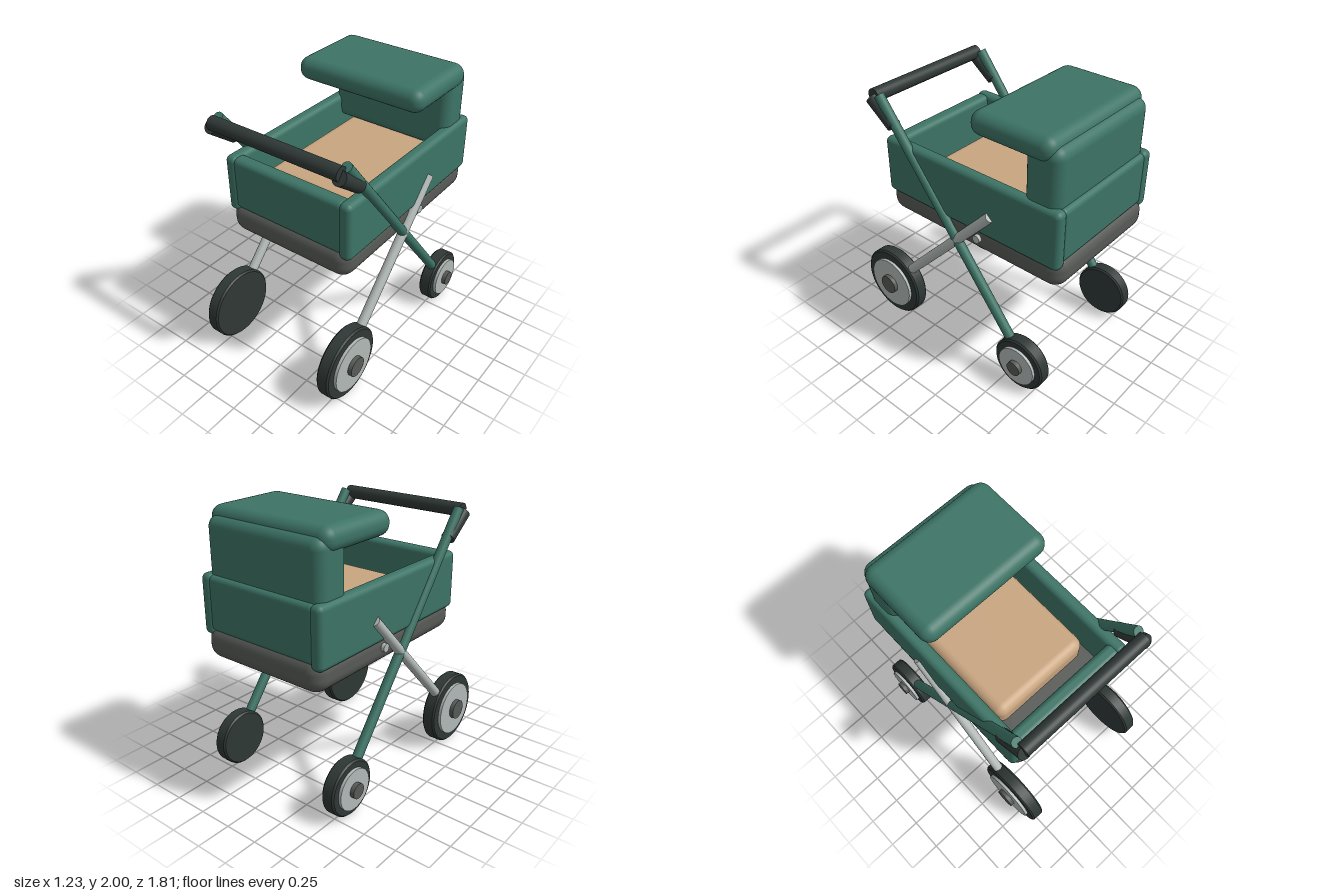
import * as THREE from 'three';
import { RoundedBoxGeometry } from 'three/addons/geometries/RoundedBoxGeometry.js';

const mat = (name, color) => {
  const m = new THREE.MeshStandardMaterial({ color });
  m.name = name;
  return m;
};

export function createModel() {
  const group = new THREE.Group();
  const green = mat('green fabric', 0x3d7466);
  const rubber = mat('dark rubber', 0x2f3836);
  const grey = mat('dark grey', 0x585b57);
  const silver = mat('silver', 0xb3bab8);
  const tan = mat('tan cushion', 0xc8a580);

  const add = (name, geometry, material, parent = group) => {
    const mesh = new THREE.Mesh(geometry, material);
    mesh.name = name;
    parent.add(mesh);
    return mesh;
  };

  // Rounded box given by its limits on each axis
  const box = (name, material, [x0, x1], [y0, y1], [z0, z1], radius) => {
    const geometry = new RoundedBoxGeometry(x1 - x0, y1 - y0, z1 - z0, 4, radius);
    geometry.translate((x0 + x1) / 2, (y0 + y1) / 2, (z0 + z1) / 2);
    return add(name, geometry, material);
  };

  // Round bar between two points
  const rod = (name, material, from, to, radius) => {
    const a = new THREE.Vector3(...from), b = new THREE.Vector3(...to);
    const dir = b.clone().sub(a);
    const mesh = add(name, new THREE.CylinderGeometry(radius, radius, dir.length(), 24), material);
    mesh.position.copy(a).add(b).multiplyScalar(0.5);
    mesh.quaternion.setFromUnitVectors(new THREE.Vector3(0, 1, 0), dir.normalize());
    return mesh;
  };

  // Wheel with its outer face towards the given side
  const wheel = (name, side, y, z, radius, discRadius, capRadius) => {
    const w = new THREE.Group();
    w.name = name;
    const b = 0.012, h = 0.05;
    const profile = [
      [0, -h], [radius - b, -h], [radius - b, -h], [radius, -h + b], [radius, -h + b],
      [radius, h - b], [radius, h - b], [radius - b, h], [radius - b, h], [0, h],
    ].map(([r, t]) => new THREE.Vector2(r, t));
    add('tire', new THREE.LatheGeometry(profile, 48), rubber, w);
    add('wheelDisc', new THREE.CylinderGeometry(discRadius, discRadius, 0.04, 48), silver, w).position.y = 0.052;
    add('hubCap', new THREE.CylinderGeometry(capRadius, capRadius, 0.06, 32), grey, w).position.y = 0.073;
    w.rotation.z = -side * Math.PI / 2;
    w.position.set(side * 0.513, y, z);
    group.add(w);
  };

  // Basket: base tray, walls and mattress
  box('baseTray', grey, [-0.505, 0.505], [0.96, 1.2], [-0.9, 0.62], 0.1);
  box('frontWall', green, [-0.46, 0.46], [1.16, 1.555], [0.495, 0.605], 0.04);
  box('rearWall', green, [-0.46, 0.46], [1.16, 1.555], [-0.885, -0.78], 0.04);
  box('mattress', tan, [-0.395, 0.395], [1.14, 1.38], [-0.76, 0.355], 0.07);

  // Hood: upright back and overhanging canopy
  box('hoodBack', green, [-0.49, 0.49], [1.38, 1.945], [-0.85, -0.58], 0.08);
  box('canopy', green, [-0.51, 0.51], [1.83, 2.0], [-0.8, -0.155], 0.08);

  for (const side of [1, -1]) {
    const s = side > 0 ? 'left' : 'right';
    const x = side * 0.512;
    box(s + 'SideWall', green, side > 0 ? [0.425, 0.52] : [-0.52, -0.425], [1.13, 1.56], [-0.89, 0.61], 0.04);

    // Crossed frame
    rod(s + 'PushLeg', green, [x, 0.23, -0.635], [x, 1.86, 0.63], 0.036);
    rod(s + 'FrontLeg', silver, [x, 0.275, 0.63], [x, 1.31, -0.35], 0.036);
    rod(s + 'PivotPin', silver, [side * 0.45, 1.085, -0.235], [side * 0.53, 1.085, -0.235], 0.03);

    // Sleeve joining the leg to the handle
    rod(s + 'HandleSleeve', rubber, [x, 1.67, 0.505], [x, 1.82, 0.7], 0.05);

    wheel(s + 'FrontWheel', side, 0.275, 0.63, 0.275, 0.205, 0.075);
    wheel(s + 'RearWheel', side, 0.21, -0.635, 0.205, 0.15, 0.055);
  }
  rod('handleBar', rubber, [-0.515, 1.84, 0.685], [0.515, 1.84, 0.685], 0.05);

  return group;
}
